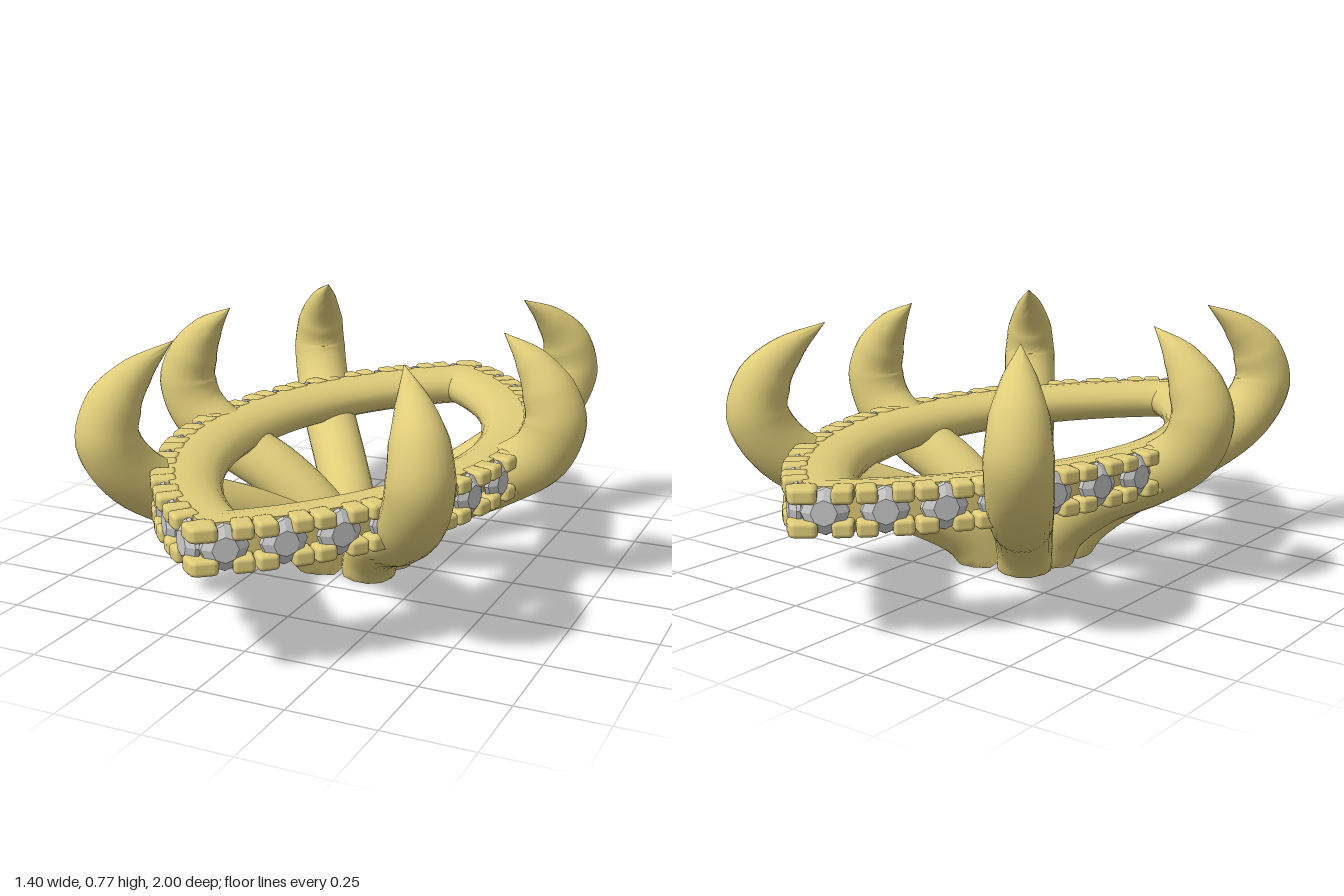
import * as THREE from 'three';
import { toCreasedNormals } from 'three/addons/utils/BufferGeometryUtils.js';
import { RoundedBoxGeometry } from 'three/addons/geometries/RoundedBoxGeometry.js';

const gold = new THREE.MeshStandardMaterial({ color: 0xe0cd7a });
const stone = new THREE.MeshStandardMaterial({ color: 0xcccccc, flatShading: true });

// Skin a list of equally sized rings of Vector3
function loft(rings, closed) {
  const n = rings[0].length, index = [];
  const last = closed ? rings.length : rings.length - 1;
  for (let i = 0; i < last; i++) {
    for (let j = 0; j < n; j++) {
      const k = (i + 1) % rings.length, m = (j + 1) % n;
      const a = i * n + j, b = k * n + j, c = k * n + m, d = i * n + m;
      index.push(a, d, c, a, c, b);
    }
  }
  const geo = new THREE.BufferGeometry().setFromPoints(rings.flat());
  geo.setIndex(index);
  return toCreasedNormals(geo, 0.7);
}

// Point on one arc of a pointed oval; t runs from -1 (front tip) to 1 (back tip)
function arcPoint(halfWidth, halfLength, side, t) {
  const R = (halfLength ** 2 + halfWidth ** 2) / (2 * halfWidth);
  const a = t * Math.asin(halfLength / R);
  return {
    x: side * (R * Math.cos(a) - R + halfWidth), z: -R * Math.sin(a),
    nx: side * Math.cos(a), nz: -Math.sin(a), length: R * Math.asin(halfLength / R),
  };
}

// Pointed oval band with a rounded inside
function makeBand() {
  const section = [[0.76, 0.425], [0.76, 0.305], [0.5, 0.302], [0.3, 0.308], [0.14, 0.322],
    [0.04, 0.342], [0, 0.365], [0.04, 0.388], [0.14, 0.408], [0.3, 0.422], [0.5, 0.428]];
  const rings = [], steps = 40;
  for (const side of [1, -1]) {
    for (let i = 0; i < steps; i++) {
      const t = side * (-1 + 2 * i / steps);
      const p = arcPoint(0.33, 0.75, side, t), q = arcPoint(0.53, 1, side, t);
      rings.push(section.map(([u, y]) =>
        new THREE.Vector3(p.x + (q.x - p.x) * u, y, p.z + (q.z - p.z) * u)));
    }
  }
  const band = new THREE.Mesh(loft(rings, true), gold);
  band.name = 'band';
  return band;
}

// Curved claw from [distance from centre, height, radius] stations
function makeClaw(stations) {
  const curve = new THREE.CatmullRomCurve3(stations.map(([d, y]) => new THREE.Vector3(d, y, 0)));
  const spans = stations.length - 1, steps = 48, sides = 24, rings = [];
  for (let i = 0; i <= steps; i++) {
    const t = i / steps, k = Math.min(Math.floor(t * spans), spans - 1);
    const r = THREE.MathUtils.lerp(stations[k][2], stations[k + 1][2], t * spans - k);
    const c = curve.getPoint(t), T = curve.getTangent(t);
    const ring = (radius) => Array.from({ length: sides }, (_, j) => {
      const a = j / sides * Math.PI * 2, n = radius * Math.cos(a);
      return new THREE.Vector3(c.x + n * T.y, Math.max(0, c.y - n * T.x), -radius * Math.sin(a));
    });
    if (i === 0) rings.push(ring(0.0001), ring(r * 0.92));
    rings.push(ring(Math.max(r, 0.0005)));
  }
  return loft(rings, false);
}

// One stone held by four corner beads, facing +z
function makeSetting(gemGeo, beadGeo, endSide) {
  const g = new THREE.Group();
  g.name = 'stoneSetting';
  const gem = new THREE.Mesh(gemGeo, stone);
  gem.name = 'stone';
  gem.position.z = -0.035;
  g.add(gem);
  for (const sx of [-1, 1]) {
    for (const sy of [-1, 1]) {
      const bead = new THREE.Mesh(beadGeo, gold);
      bead.name = 'bead';
      const atTip = sx === endSide;
      bead.position.set(sx * (atTip ? 0.052 : 0.046), sy * 0.0435, -0.036);
      if (atTip) bead.scale.x = 1.25;
      g.add(bead);
    }
  }
  return g;
}

export function createModel() {
  const model = new THREE.Group();
  model.name = 'marquiseSetting';
  model.add(makeBand());

  // Stones spaced along both outer arcs
  const gemGeo = new THREE.LatheGeometry(
    [[0, -0.05], [0.064, 0], [0.06, 0.01], [0.034, 0.027], [0, 0.027]].map(p => new THREE.Vector2(...p)), 8);
  gemGeo.rotateX(Math.PI / 2);
  const beadGeo = new RoundedBoxGeometry(0.056, 0.043, 0.072, 2, 0.012);
  const spacing = 0.156;
  for (const side of [1, -1]) {
    for (let i = -7; i <= 7; i++) {
      const p = arcPoint(0.53, 1, side, i * spacing / arcPoint(0.53, 1, 1, 0).length);
      const endSide = Math.abs(i) === 7 ? Math.sign(i) * side : 0;
      const setting = makeSetting(gemGeo, beadGeo, endSide);
      setting.position.set(p.x, 0.365, p.z);
      setting.rotation.y = Math.atan2(p.nx, p.nz);
      model.add(setting);
    }
  }

  // Six claws: one on each side and four diagonal
  const sideClaw = makeClaw([[0.08, 0.012, 0.083], [0.125, 0.11, 0.085], [0.27, 0.235, 0.086],
    [0.45, 0.33, 0.088], [0.575, 0.42, 0.09], [0.612, 0.52, 0.09], [0.585, 0.61, 0.077],
    [0.53, 0.69, 0.047], [0.45, 0.762, 0]]);
  const diagonalClaw = makeClaw([[0.125, 0.012, 0.083], [0.19, 0.1, 0.085], [0.36, 0.2, 0.086],
    [0.57, 0.29, 0.088], [0.74, 0.395, 0.09], [0.81, 0.51, 0.09], [0.785, 0.61, 0.078],
    [0.715, 0.69, 0.047], [0.607, 0.765, 0]]);
  for (const degrees of [0, 180, 55, -55, 125, -125]) {
    const isSide = degrees % 180 === 0;
    const claw = new THREE.Mesh(isSide ? sideClaw : diagonalClaw, gold);
    claw.name = isSide ? 'sideClaw' : 'diagonalClaw';
    claw.rotation.y = THREE.MathUtils.degToRad(degrees);
    model.add(claw);
  }

  // Small hub joining the claws at the base
  const hub = new THREE.Mesh(new THREE.CylinderGeometry(0.085, 0.085, 0.07, 24), gold);
  hub.name = 'baseHub';
  hub.position.y = 0.055;
  model.add(hub);
  return model;
}
